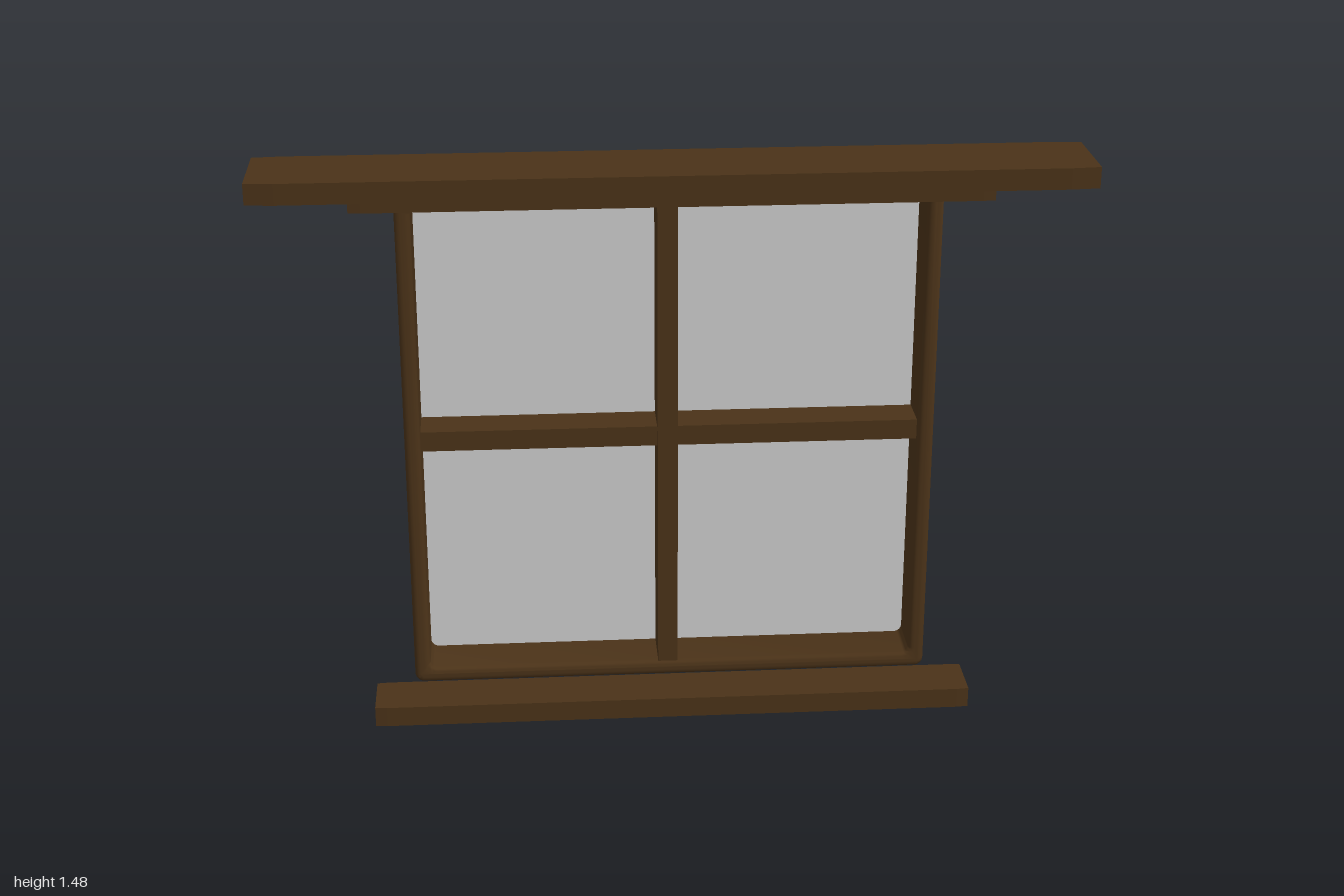
import * as THREE from 'three';
import { toCreasedNormals } from 'three/addons/utils/BufferGeometryUtils.js';

const wood = new THREE.MeshStandardMaterial({ color: 0x4a3218 });
const glass = new THREE.MeshStandardMaterial({ color: 0xcccccc });

// Traces a rounded rectangle onto a Shape or Path; the arcs join up by straight lines.
function roundedRect(path, x0, y0, x1, y1, r) {
  const q = Math.PI / 2;
  path.absarc(x1 - r, y0 + r, r, -q, 0);
  path.absarc(x1 - r, y1 - r, r, 0, q);
  path.absarc(x0 + r, y1 - r, r, q, 2 * q);
  path.absarc(x0 + r, y0 + r, r, 2 * q, 3 * q);
  return path;
}

export function createModel() {
  const group = new THREE.Group();

  function add(name, geometry, material = wood) {
    const mesh = new THREE.Mesh(geometry, material);
    mesh.name = name;
    group.add(mesh);
  }

  // Box given by its minimum and maximum corners.
  function box(name, [x0, y0, z0], [x1, y1, z1], material) {
    const g = new THREE.BoxGeometry(x1 - x0, y1 - y0, z1 - z0);
    g.translate((x0 + x1) / 2, (y0 + y1) / 2, (z0 + z1) / 2);
    add(name, g, material);
  }

  // Board whose ends narrow slightly in depth.
  function board(name, halfWidth, y0, y1, z0, z1, taper, inset) {
    const a = halfWidth - taper;
    const outline = new THREE.Shape([
      [-a, z0], [a, z0], [halfWidth, z0 + inset], [halfWidth, z1 - inset],
      [a, z1], [-a, z1], [-halfWidth, z1 - inset], [-halfWidth, z0 + inset],
    ].map(([x, z]) => new THREE.Vector2(x, -z)).reverse());
    const g = new THREE.ExtrudeGeometry(outline, { depth: y1 - y0, bevelEnabled: false });
    g.rotateX(-Math.PI / 2).translate(0, y0, 0);
    add(name, g);
  }

  // Deep casing with softened edges
  const bevel = 0.015;
  const front = 0.023, back = -0.23;
  const casing = roundedRect(new THREE.Shape(), -0.67, 0.056, 0.67, 1.396, 0.024);
  casing.holes.push(roundedRect(new THREE.Path(), -0.63, 0.096, 0.63, 1.356, 0.02));
  const casingGeometry = new THREE.ExtrudeGeometry(casing, {
    depth: front - back - 2 * bevel,
    bevelThickness: bevel, bevelSize: bevel, bevelOffset: -bevel,
    bevelSegments: 4, curveSegments: 4,
  });
  casingGeometry.translate(0, 0, back + bevel);
  add('casing', toCreasedNormals(casingGeometry, 0.7));

  // Pane and the crossing glazing bars
  box('pane', [-0.64, 0.085, -0.112], [0.64, 1.367, -0.106], glass);
  box('verticalBar', [-0.033, 0.085, -0.133], [0.018, 1.367, 0.015]);
  box('horizontalBar', [-0.64, 0.703, -0.122], [0.64, 0.755, -0.005]);

  // Sill below, bracket strip and wide shelf above
  board('sill', 0.77, 0, 0.053, 0.01, 0.145, 0.03, 0.003);
  board('headStrip', 0.77, 1.38, 1.43, 0.01, 0.145, 0.03, 0.003);
  board('topShelf', 1, 1.43, 1.482, 0.005, 0.23, 0.07, 0.006);

  return group;
}
